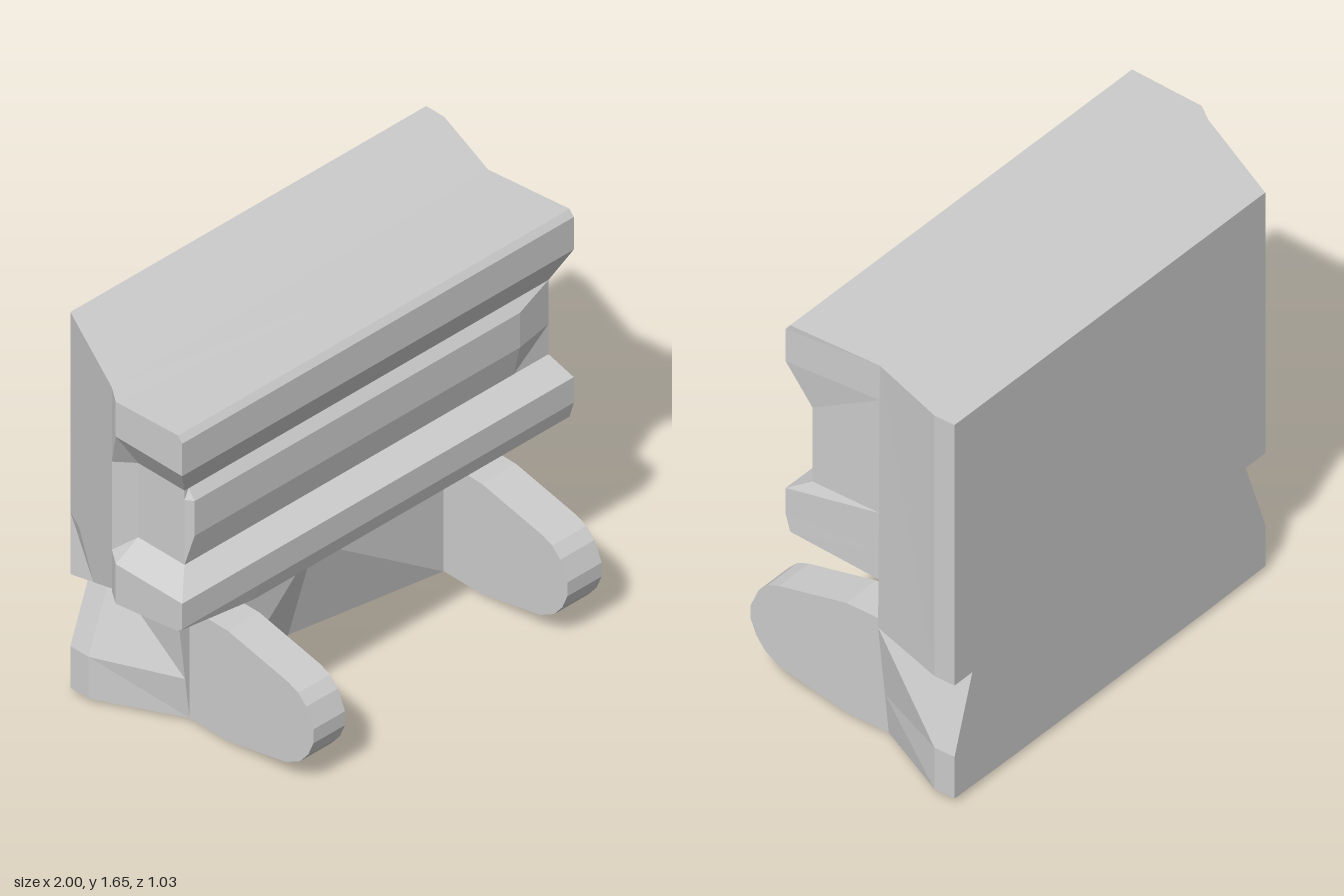
import * as THREE from 'three';

const material = new THREE.MeshStandardMaterial({ color: 0xcccccc, flatShading: true });

function addMesh(group, name, geometry) {
  const mesh = new THREE.Mesh(geometry, material);
  mesh.name = name;
  group.add(mesh);
  return mesh;
}

// Skin a stack of rings (counter-clockwise seen from the end of the stack).
// Each end is closed by a fan around its own hub point.
function loft(rings, startHub, endHub) {
  const pos = [];
  const n = rings[0].length;
  const tri = (a, b, c) => pos.push(...a, ...b, ...c);
  for (let r = 0; r < rings.length - 1; r++) {
    const a = rings[r], b = rings[r + 1];
    for (let i = 0; i < n; i++) {
      const j = (i + 1) % n;
      tri(a[i], a[j], b[j]);
      tri(a[i], b[j], b[i]);
    }
  }
  const first = rings[0], last = rings[rings.length - 1];
  for (let i = 0; i < n; i++) {
    const j = (i + 1) % n;
    tri(startHub, first[j], first[i]);
    tri(endHub, last[i], last[j]);
  }
  const geometry = new THREE.BufferGeometry();
  geometry.setAttribute('position', new THREE.Float32BufferAttribute(pos, 3));
  geometry.computeVertexNormals();
  return geometry;
}

// Rear block: flares to the right side, tapers along the slanted left side
function rearBlock() {
  const section = (z, bottomLeft, left, right, bottomRight) => [
    [bottomLeft, 0.51, z], [bottomRight, 0.51, z], [right, 1.64, z], [left, 1.64, z], [left, 0.78, z],
  ];
  return loft([
    section(-0.52, -0.74, -0.74, 1, 1),
    section(-0.43, -0.716, -0.785, 1, 1),
    section(-0.1, -0.63, -0.95, 0.89, 0.9),
  ], [0, 1.1, -0.52], [0, 1.1, -0.1]);
}

// Front body: two projecting rails with a recessed, bulging panel between them
function frontRails() {
  const ring = ({ y, z, bulge = 0, left = -1, right = 0.915, inner = -0.87, lift = 0, height = () => y }) => [
    [-0.95, height(-0.1) + lift, -0.1],
    [left, height(-0.03) + lift, -0.03],
    [left, height(z) + lift, z],
    [inner, height(z), z + bulge],
    [0.72, height(z), z + bulge],
    [right, height(z), z],
    [0.89, height(-0.1), -0.1],
    [inner, height(-0.1), -0.1],
  ];
  const waist = { z: 0.2, left: -0.89, right: 0.89 };
  return loft([
    ring({ z: 0.28, inner: -0.63, lift: 0.05, height: (z) => 0.76 - (0.28 - z) * 0.13 }),
    ring({ y: 0.83, z: 0.3, inner: -0.63 }),
    ring({ y: 0.94, z: 0.3 }),
    ring({ y: 1.0, ...waist }),
    ring({ y: 1.13, bulge: 0.03, ...waist }),
    ring({ y: 1.28, bulge: 0.03, ...waist }),
    ring({ y: 1.32, ...waist }),
    ring({ y: 1.49, z: 0.3 }),
    ring({ y: 1.63, z: 0.3 }),
    ring({ z: 0.28, height: (z) => (z > 0.08 ? 1.655 : 1.64) }),
  ], [0, 0.735, 0.09], [0, 1.648, 0.09]);
}

// Base: flared rear, narrower front with a wedge cut in the middle
function base() {
  const rear = (z) => [
    [-0.74, 0.02, z], [-0.42, 0.015, z], [0.04, 0.015, z], [0.67, 0.015, z], [1, 0.02, z],
    [1, 0.2, z], [0.9, 0.51, z], [-0.63, 0.51, z], [-0.74, 0.2, z],
  ];
  const front = [
    [-0.57, 0.02, -0.1], [-0.42, 0.02, -0.1], [0.04, 0, -0.23], [0.67, 0.02, -0.1], [0.84, 0.02, -0.1],
    [0.862, 0.2, -0.1], [0.9, 0.51, -0.1], [-0.63, 0.51, -0.1], [-0.592, 0.2, -0.1],
  ];
  return loft([rear(-0.52), rear(-0.43), front], [0.1, 0.25, -0.52], [0.04, 0.46, -0.1]);
}

// Rounded foot: side profile given as (z, y), extruded across its width
function foot(width) {
  const profile = [
    [-0.12, 0.02], [0.09, 0.02], [0.38, 0.08], [0.45, 0.12], [0.49, 0.17], [0.515, 0.23],
    [0.515, 0.29], [0.48, 0.37], [0.44, 0.41], [0.39, 0.43], [0.09, 0.495], [-0.12, 0.495],
  ];
  const shape = new THREE.Shape(profile.map(([z, y]) => new THREE.Vector2(-z, y)));
  const geometry = new THREE.ExtrudeGeometry(shape, { depth: width, bevelEnabled: false });
  return geometry.rotateY(Math.PI / 2);
}

export function createModel() {
  const group = new THREE.Group();
  group.name = 'model';
  addMesh(group, 'rearBlock', rearBlock());
  addMesh(group, 'frontRails', frontRails());
  addMesh(group, 'base', base());
  addMesh(group, 'rightFoot', foot(0.155)).position.x = -0.57;
  addMesh(group, 'leftFoot', foot(0.168)).position.x = 0.672;
  return group;
}
